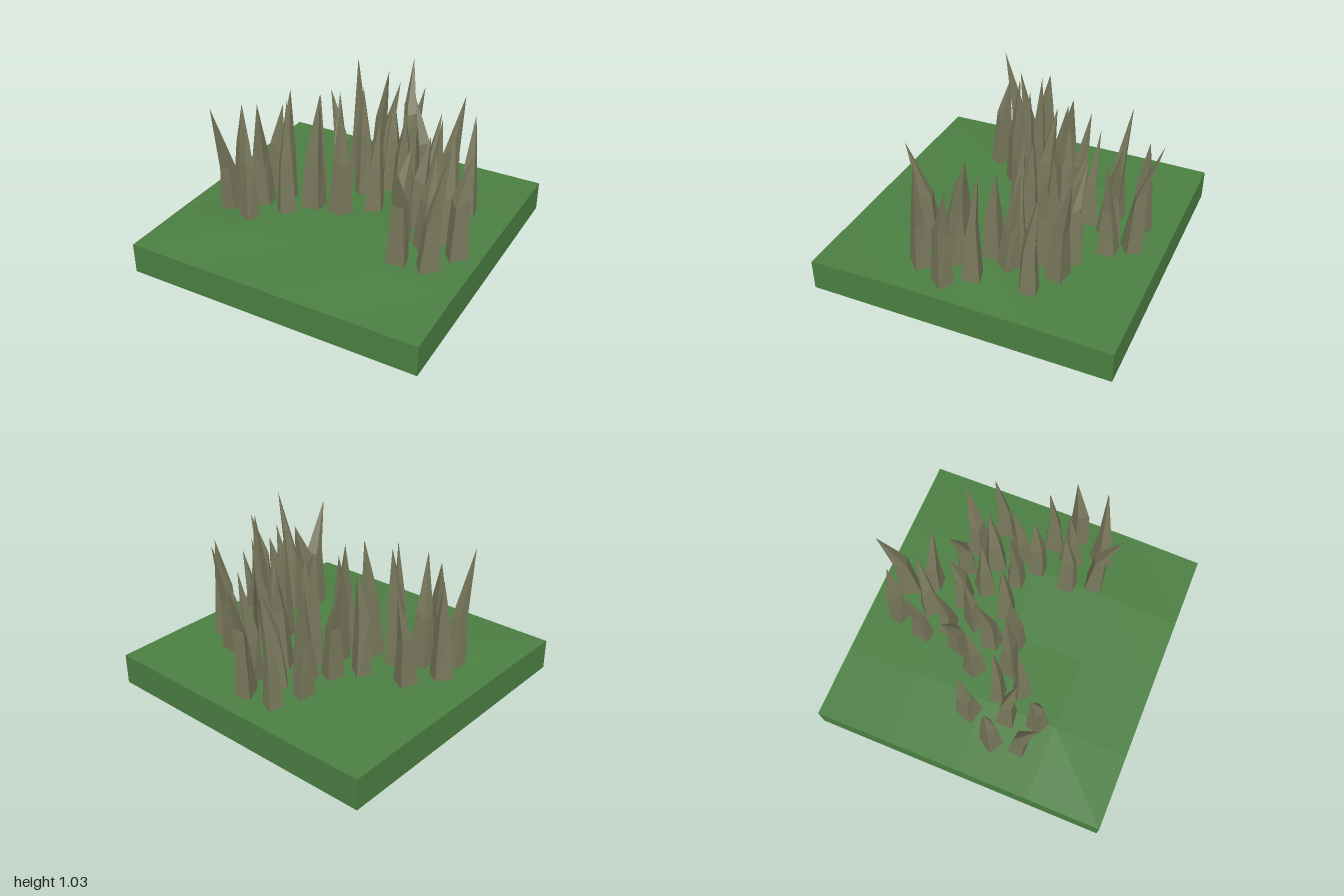
import * as THREE from 'three';

const green = new THREE.MeshStandardMaterial({ color: 0x4b7f42, flatShading: true });
const stone = new THREE.MeshStandardMaterial({ color: 0x78775b, flatShading: true });

// Each spike: foot x, foot z, height, and for the strongly bent ones the tip's lean in x and z
const SPIKES = [
  // back of the arc
  [-0.16, -0.78, 0.9], [0.06, -0.8, 0.98, -0.04, -0.13], [-0.22, -0.57, 1.03, -0.05, -0.07],
  [-0.03, -0.61, 0.9, 0.07, -0.07], [0.15, -0.65, 0.92, 0.09, 0], [-0.1, -0.44, 0.9],
  [0.12, -0.42, 0.88],
  // right-hand wing
  [0.34, -0.48, 0.9, -0.12, -0.05], [0.51, -0.47, 0.96, 0.06, -0.09], [0.71, -0.35, 0.92],
  [0.24, -0.3, 0.9], [0.45, -0.31, 0.9], [0.14, -0.12, 0.89], [0.37, -0.13, 1.03, -0.05, -0.03],
  [0.55, -0.17, 0.92], [0.51, -0.03, 0.88], [0.73, 0.01, 0.98], [0.48, 0.2, 0.9],
  [0.65, 0.17, 0.88], [0.84, 0.15, 0.91], [0.56, 0.36, 0.97, 0.02, 0.14],
  [0.75, 0.35, 1.03, 0.08, -0.05],
  // left-hand wing and centre
  [-0.2, -0.31, 0.9, -0.12, -0.04], [-0.02, -0.28, 0.96], [-0.32, -0.14, 0.92],
  [-0.11, -0.12, 0.98], [-0.61, -0.07, 0.82], [-0.43, 0.06, 1.03], [-0.22, 0.06, 1.03],
  [-0.03, 0.03, 0.97], [-0.72, 0.13, 0.88], [-0.55, 0.17, 0.98, 0.03, 0.07],
  [-0.35, 0.21, 1.02], [-0.7, 0.32, 0.99, -0.03, 0.13], [-0.52, 0.38, 0.88],
];

// Turf heights of the inner rows, back to front; the outer rows are level
const EDGE = 0.205;
const TURF = [
  [0.21, 0.215, 0.22, 0.225, 0.215],
  [0.21, 0.225, 0.225, 0.25, 0.22],
  [0.21, 0.24, 0.225, 0.24, 0.22],
];

// Small repeatable variation in 0..1
const vary = (i, j) => {
  const s = Math.sin(i * 12.9898 + j * 78.233) * 43758.5453;
  return s - Math.floor(s);
};

// Turf slab with a subdivided, slightly humped top
function makeGround() {
  const size = 1.99, cell = size / 4;
  const geo = new THREE.BoxGeometry(size, 0.2, size, 4, 1, 4);
  geo.translate(0, 0.1, 0);
  const p = geo.attributes.position;
  for (let i = 0; i < p.count; i++) {
    if (p.getY(i) < 0.1) continue;
    const col = Math.round(p.getX(i) / cell) + 2;
    const row = Math.round(p.getZ(i) / cell) + 2;
    p.setY(i, row % 4 === 0 ? EDGE : TURF[row - 1][col]);
  }
  geo.computeVertexNormals();
  const ground = new THREE.Mesh(geo, green);
  ground.name = 'ground';
  return ground;
}

// Four-sided spike: wide foot, narrow uneven waist, long leaning point
function makeSpike(spec, n) {
  const [x, z, height] = spec;
  const leanX = spec[3] ?? 0.1 * (vary(n, 6) - 0.5);
  const leanZ = spec[4] ?? -0.02 - 0.05 * vary(n, 7);
  const geo = new THREE.CylinderGeometry(0, 0.08, 1, 4, 2, true);
  const p = geo.attributes.position;
  const turn = vary(n, 9) * Math.PI * 2;
  const waistY = 0.52 + 0.12 * vary(n, 8);
  for (let i = 0; i < p.count; i++) {
    const level = Math.round((p.getY(i) + 0.5) * 2);
    if (level === 2) {
      p.setXYZ(i, x + leanX, height, z + leanZ);
      continue;
    }
    const a = Math.atan2(p.getZ(i), p.getX(i));
    const side = (Math.round(a / (Math.PI / 2)) + 4) % 4;
    const r = (level ? 0.05 : 0.083) * (0.8 + 0.4 * vary(n, side + level * 5));
    const angle = a + turn + 0.4 * (vary(n, side + 30) - 0.5);
    p.setXYZ(i,
      x + leanX * level * 0.15 + r * Math.cos(angle),
      level ? waistY + 0.1 * (vary(n, side + 20) - 0.5) : 0.19,
      z + leanZ * level * 0.15 + r * Math.sin(angle));
  }
  geo.computeVertexNormals();
  const spike = new THREE.Mesh(geo, stone);
  spike.name = 'spike' + (n + 1);
  return spike;
}

export function createModel() {
  const model = new THREE.Group();
  model.name = 'spikeField';
  const spikes = new THREE.Group();
  spikes.name = 'spikes';
  SPIKES.forEach((spec, n) => spikes.add(makeSpike(spec, n)));
  model.add(makeGround(), spikes);
  return model;
}
